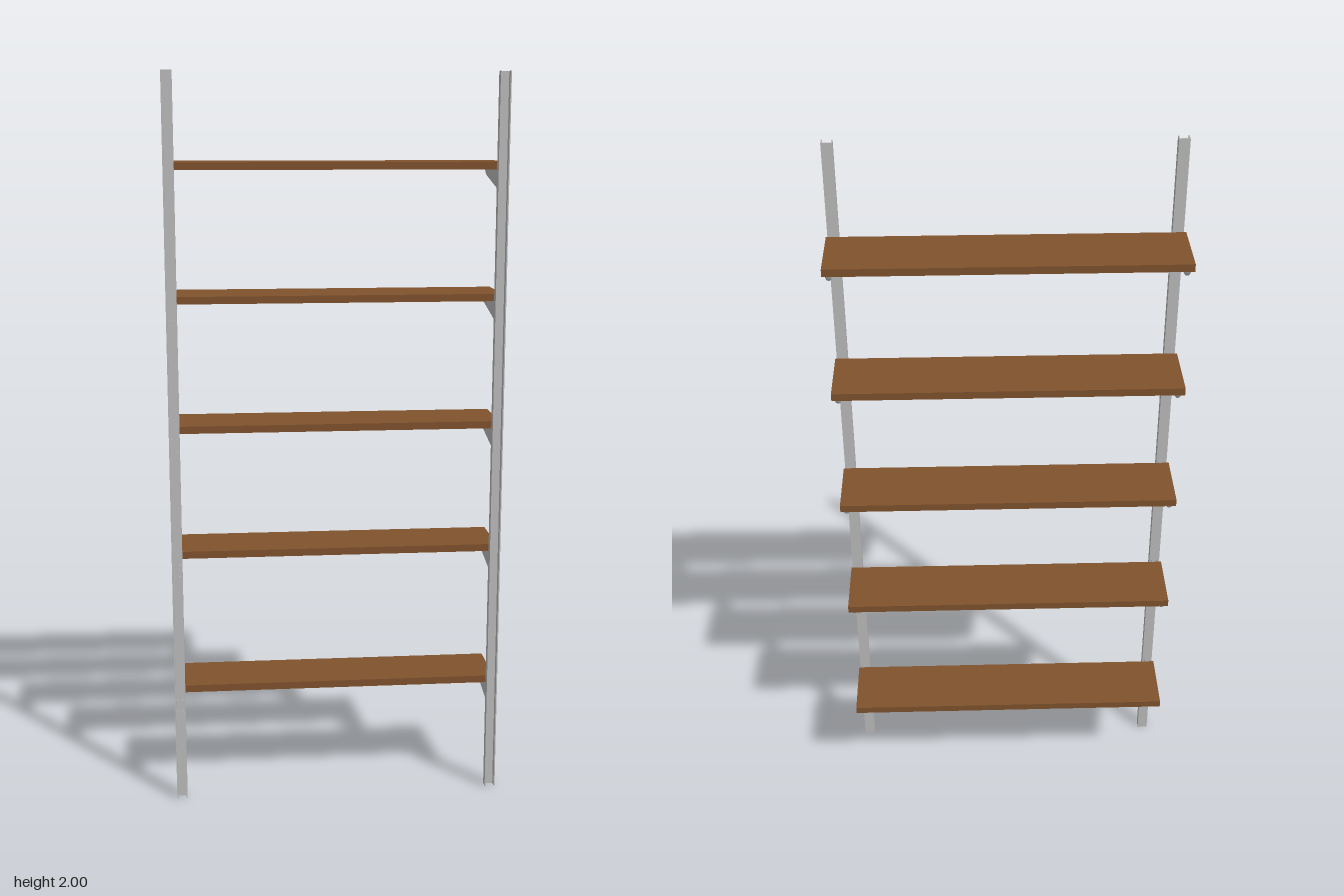
import * as THREE from 'three';

const SHELF_BOTTOMS = [0.295, 0.687, 1.04, 1.393, 1.746];
const POST_X = 0.44;

export function createModel() {
  const group = new THREE.Group();
  const wood = new THREE.MeshStandardMaterial({ color: 0x80522d });
  wood.name = 'brown wood';
  const steel = new THREE.MeshStandardMaterial({ color: 0xbcbcbc, side: THREE.DoubleSide });
  steel.name = 'grey steel';

  function add(name, geometry, material, x = 0, y = 0, z = 0) {
    const mesh = new THREE.Mesh(geometry, material);
    mesh.name = name;
    mesh.position.set(x, y, z);
    group.add(mesh);
    return mesh;
  }

  // Upright: U channel, web towards the shelves, legs open to +z
  const w = 0.0145, t = 0.003, zWeb = 0.097, zEnd = 0.119;
  const channel = new THREE.Shape([
    [-w, -zEnd], [-w + t, -zEnd], [-w + t, -zWeb - t], [w - t, -zWeb - t],
    [w - t, -zEnd], [w, -zEnd], [w, -zWeb], [-w, -zWeb],
  ].map(([x, y]) => new THREE.Vector2(x, y)));
  const uprightGeo = new THREE.ExtrudeGeometry(channel, { depth: 2, bevelEnabled: false });
  uprightGeo.rotateX(-Math.PI / 2);

  const bracketGeo = makeBracket();
  const hookGeo = new THREE.BoxGeometry(0.003, 0.014, 0.008);
  const shelfGeo = new THREE.BoxGeometry(0.91, 0.02, 0.18);

  for (const side of [-1, 1]) {
    const sideName = side > 0 ? 'left' : 'right';
    add(sideName + 'Upright', uprightGeo, steel, side * POST_X);
    SHELF_BOTTOMS.forEach((y, i) => {
      add(`${sideName}Bracket${i + 1}`, bracketGeo, steel, side * POST_X, y);
      // Hooks that pass through the web
      if (side < 0 && i < 4) {
        for (const hx of [-0.007, 0.007]) {
          for (const hy of [-0.012, -0.045]) add('bracketHook', hookGeo, steel, side * POST_X + hx, y + hy, 0.104);
        }
      }
    });
  }
  SHELF_BOTTOMS.forEach((y, i) => add(`shelf${i + 1}`, shelfGeo, wood, 0, y + 0.01, -0.028));
  return group;
}

// Folded bracket: open-topped U section with a rounded bottom, shallower to the tip
function makeBracket() {
  const stations = [[0.097, 0.061], [-0.095, 0.022], [-0.102, 0.016], [-0.106, 0.003]];
  const r = 0.0075, arc = 8, n = arc + 3;
  const positions = [], index = [];
  for (const [z, depth] of stations) {
    const ry = Math.min(r, depth * 0.8);
    positions.push(-r, 0, z);
    for (let i = 0; i <= arc; i++) {
      const a = Math.PI * (1 + i / arc);
      positions.push(r * Math.cos(a), -depth + ry + ry * Math.sin(a), z);
    }
    positions.push(r, 0, z);
  }
  for (let s = 0; s < stations.length - 1; s++) {
    for (let i = 0; i < n - 1; i++) {
      const a = s * n + i, b = a + n;
      index.push(a, a + 1, b, b, a + 1, b + 1);
    }
  }
  // Small closing face at the tip
  const tip = (stations.length - 1) * n;
  for (let i = 1; i < n - 1; i++) index.push(tip, tip + i, tip + i + 1);
  // Outward winding check: the first side strip must face -x
  const geo = new THREE.BufferGeometry();
  geo.setAttribute('position', new THREE.Float32BufferAttribute(positions, 3));
  geo.setIndex(index);
  geo.computeVertexNormals();
  if (geo.attributes.normal.getX(0) > 0) {
    for (let i = 0; i < index.length; i += 3) [index[i], index[i + 1]] = [index[i + 1], index[i]];
    geo.setIndex(index);
    geo.computeVertexNormals();
  }
  return geo;
}
